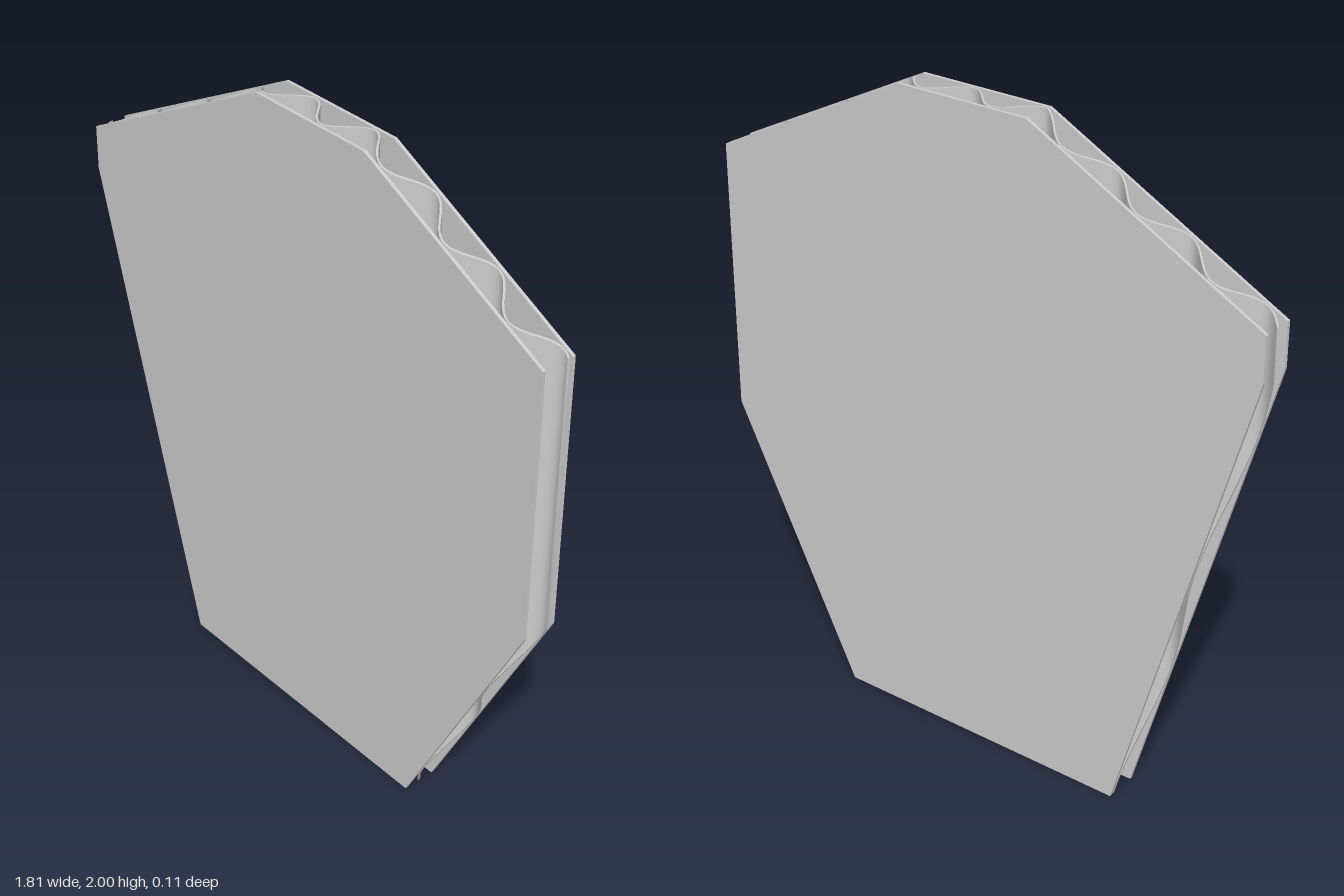
import * as THREE from 'three';
import { toCreasedNormals } from 'three/addons/utils/BufferGeometryUtils.js';

const W = 0.903;            // half width
const LINER = 0.01;         // liner sheet thickness
const DEPTH = 0.056;        // half depth of the whole board
const AMP = 0.0405, PERIOD = 0.23, PEAK = -0.04, FLUTE = 0.006;

// Lower and upper halves of the torn outline, left to right
const lower = [[-W, 1.475], [-0.49, 0], [0.48, 0], [W, 0.84]];
const upper = [[-W, 1.61], [-0.165, 2], [0.255, 2], [W, 1.675]];

const material = () => new THREE.MeshStandardMaterial({ color: 0xcccccc });

// Height of an outline half at x
function heightAt(line, x) {
  let i = 0;
  while (i < line.length - 2 && x > line[i + 1][0]) i++;
  const [x0, y0] = line[i], [x1, y1] = line[i + 1];
  return THREE.MathUtils.mapLinear(x, x0, x1, y0, y1);
}

// Flat paper sheet in the outline shape
function makeLiner(name, z) {
  const points = [...lower, ...[...upper].reverse()].map(([x, y]) => new THREE.Vector2(x, y));
  const geometry = new THREE.ExtrudeGeometry(new THREE.Shape(points), { depth: LINER, bevelEnabled: false });
  geometry.translate(0, 0, z);
  const mesh = new THREE.Mesh(geometry, material());
  mesh.name = name;
  return mesh;
}

// Wavy paper sheet with vertical flutes, trimmed to the outline
function makeFluting() {
  const steps = 160;
  const columns = [...lower, ...upper].map(p => p[0]).filter(x => Math.abs(x) < W);
  for (let i = 0; i <= steps; i++) columns.push(-W + (2 * W * i) / steps);
  columns.sort((a, b) => a - b);

  // Four corners of the sheet at each column: front bottom, front top, back top, back bottom
  const k = (2 * Math.PI) / PERIOD;
  const rings = columns.map(x => {
    const z = -AMP * Math.cos(k * (x - PEAK));
    const slope = AMP * k * Math.sin(k * (x - PEAK));
    const len = Math.hypot(1, slope);
    const corner = (side, line) => {
      const h = (side * FLUTE) / 2 / len;
      const cx = THREE.MathUtils.clamp(x - slope * h, -W, W);
      return [cx, heightAt(line, cx), z + h];
    };
    return [corner(1, lower), corner(1, upper), corner(-1, upper), corner(-1, lower)];
  });

  const positions = [];
  const quad = (a, b, c, d) => positions.push(...a, ...b, ...c, ...a, ...c, ...d);
  for (let i = 0; i < rings.length - 1; i++) {
    const p = rings[i], q = rings[i + 1];
    for (let s = 0; s < 4; s++) {
      const t = (s + 1) % 4;
      quad(p[s], q[s], q[t], p[t]);
    }
  }
  quad(...rings[0]);
  quad(...[...rings[rings.length - 1]].reverse());

  const geometry = new THREE.BufferGeometry();
  geometry.setAttribute('position', new THREE.Float32BufferAttribute(positions, 3));
  const mesh = new THREE.Mesh(toCreasedNormals(geometry, 0.7), material());
  mesh.name = 'corrugatedFluting';
  return mesh;
}

export function createModel() {
  const group = new THREE.Group();
  group.name = 'corrugatedBoardPiece';
  group.add(
    makeLiner('frontLiner', DEPTH - LINER),
    makeLiner('backLiner', -DEPTH),
    makeFluting(),
  );
  return group;
}
